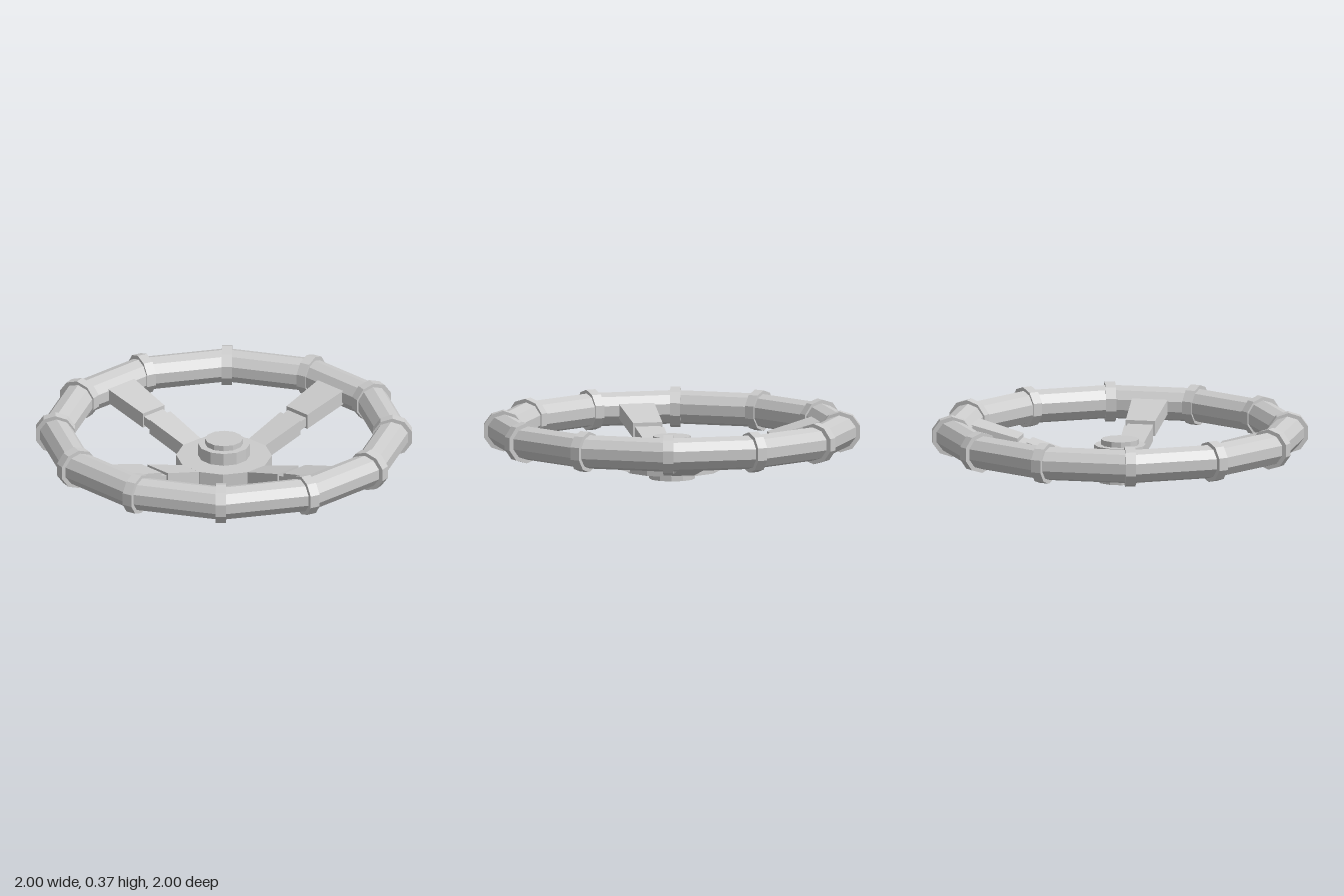
import * as THREE from 'three';

const SIDES = 12;
const HALF = Math.PI / SIDES; // half a side, so flats face the axes
const material = new THREE.MeshStandardMaterial({ color: 0xcccccc, flatShading: true });

function add(parent, name, geometry) {
  const mesh = new THREE.Mesh(geometry, material);
  mesh.name = name;
  parent.add(mesh);
  return mesh;
}

// Twelve-sided turned part from [radius, height] pairs
function turned(points) {
  return new THREE.LatheGeometry(points.map(([r, y]) => new THREE.Vector2(r, y)), SIDES, HALF);
}

// Bar along +x between two end sections: { x, w: half width, lo, hi }
function taperedBar(a, b) {
  const geometry = new THREE.BoxGeometry(1, 1, 1);
  const p = geometry.attributes.position;
  for (let i = 0; i < p.count; i++) {
    const end = p.getX(i) < 0 ? a : b;
    p.setXYZ(i, end.x, p.getY(i) < 0 ? end.lo : end.hi, Math.sign(p.getZ(i)) * end.w);
  }
  return geometry;
}

export function createModel() {
  const wheel = new THREE.Group();
  wheel.name = 'handwheel';
  const rimY = 0.262;
  const rimFlat = 0.892;
  const rimCorner = rimFlat / Math.cos(HALF);

  // Rim: ten-sided tube mitred into twelve straight lengths
  const section = [];
  for (let k = 0; k <= 10; k++) {
    const a = THREE.MathUtils.degToRad(18 + 36 * k);
    section.push([(rimFlat + 0.0925 * Math.cos(a)) / Math.cos(HALF), rimY + 0.0925 * Math.sin(a)]);
  }
  add(wheel, 'rim', turned(section));

  // Collars over the rim joints
  const collarGeometry = new THREE.CylinderGeometry(0.112, 0.112, 0.056, 10)
    .rotateX(Math.PI / 2)
    .translate(rimCorner, rimY, 0);
  for (let i = 0; i < SIDES; i++) {
    add(wheel, 'rimCollar', collarGeometry).rotation.y = HALF + i * 2 * HALF;
  }

  // Spokes: inner arm, narrow neck, wider outer arm
  const innerArm = taperedBar(
    { x: 0.24, w: 0.064, lo: 0.046, hi: 0.131 },
    { x: 0.505, w: 0.08, lo: 0.126, hi: 0.21 });
  const neck = taperedBar(
    { x: 0.49, w: 0.07, lo: 0.138, hi: 0.19 },
    { x: 0.57, w: 0.072, lo: 0.162, hi: 0.214 });
  const outerArm = taperedBar(
    { x: 0.555, w: 0.082, lo: 0.146, hi: 0.23 },
    { x: 0.83, w: 0.101, lo: 0.225, hi: 0.305 });
  for (let i = 0; i < 4; i++) {
    const spoke = new THREE.Group();
    spoke.name = 'spoke';
    spoke.rotation.y = i * Math.PI / 2;
    add(spoke, 'innerArm', innerArm);
    add(spoke, 'neck', neck);
    add(spoke, 'outerArm', outerArm);
    wheel.add(spoke);
  }

  // Hub plate, hollowed underneath
  add(wheel, 'hub', turned([
    [0, 0.095], [0.215, 0.095], [0.22, 0.045], [0.262, 0.045], [0.262, 0.135], [0, 0.135],
  ]));

  // Stepped boss on top and stub shaft below
  add(wheel, 'boss', turned([[0, 0.13], [0.142, 0.13], [0.142, 0.205], [0, 0.205]]));
  add(wheel, 'bossCap', turned([[0, 0.2], [0.104, 0.2], [0.104, 0.235], [0, 0.235]]));
  add(wheel, 'shaft', turned([[0, 0], [0.125, 0], [0.125, 0.1], [0, 0.1]]));

  return wheel;
}
